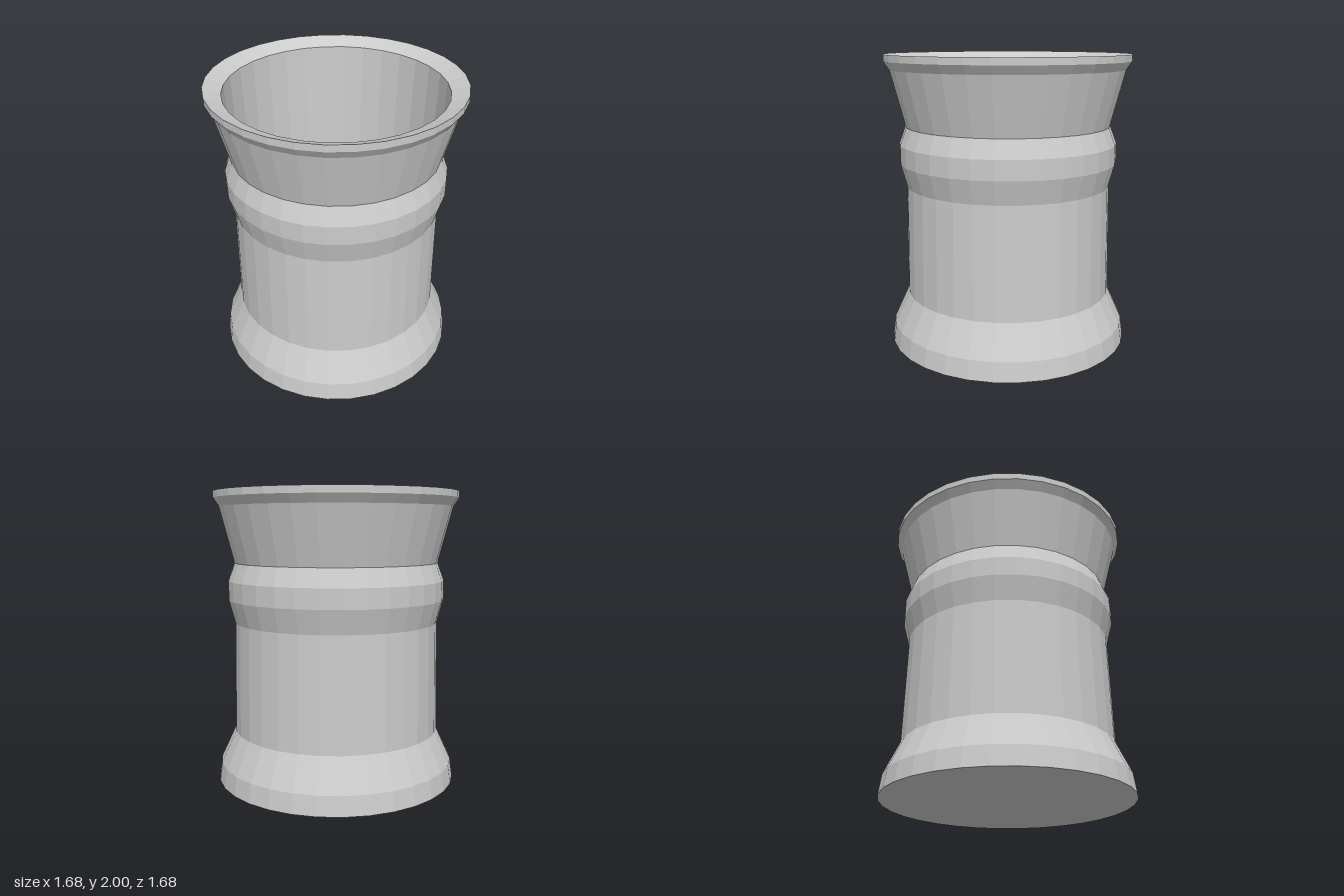
import * as THREE from 'three';

const SIDES = 32;

// Faceted surface of revolution from [radius, height] pairs
function turned(name, profile, material) {
  const points = profile.map(([r, y]) => new THREE.Vector2(r, y));
  const mesh = new THREE.Mesh(new THREE.LatheGeometry(points, SIDES), material);
  mesh.name = name;
  return mesh;
}

export function createModel() {
  const group = new THREE.Group();
  group.name = 'pot';
  const clay = new THREE.MeshStandardMaterial({ color: 0xcccccc, flatShading: true });

  // Closed underside and flared foot
  group.add(turned('foot', [[0, 0], [0.84, 0], [0.822, 0.13], [0.72, 0.35]], clay));

  // Nearly straight body
  group.add(turned('body', [[0.72, 0.35], [0.707, 1.11]], clay));

  // Raised band around the neck
  group.add(turned('band', [[0.707, 1.11], [0.75, 1.27], [0.75, 1.4], [0.705, 1.52]], clay));

  // Flaring collar
  group.add(turned('collar', [[0.705, 1.52], [0.803, 1.9]], clay));

  // Lip with a top that slopes inward
  group.add(turned('rim', [[0.803, 1.9], [0.84, 1.955], [0.84, 2], [0.726, 1.952]], clay));

  // Tapering inner wall and floor
  group.add(turned('interior', [[0.726, 1.952], [0.66, 0.1], [0, 0.1]], clay));

  return group;
}
